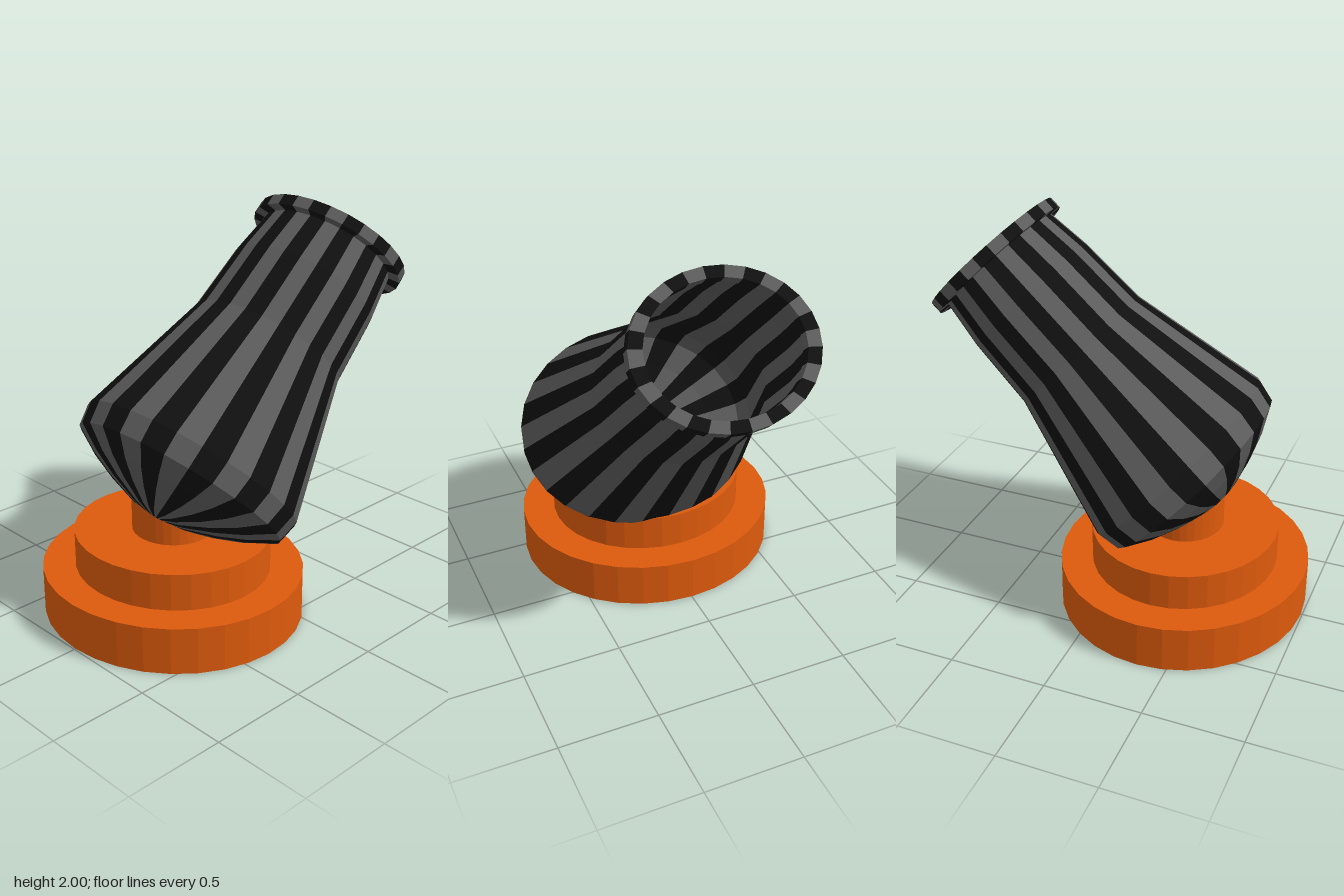
import * as THREE from 'three';
import { mergeGeometries } from 'three/addons/utils/BufferGeometryUtils.js';

const STRIPES = 28;
const orange = new THREE.MeshStandardMaterial({ color: 0xdd5a0c, flatShading: true });
const makeStripe = (color) =>
  new THREE.MeshStandardMaterial({ color, flatShading: true, side: THREE.DoubleSide });
const stripeMaterials = { dark: makeStripe(0x101010), light: makeStripe(0x5c5c5c) };

// Elliptical tier of the stand
function tier(name, rx, rz, y0, y1) {
  const mesh = new THREE.Mesh(new THREE.CylinderGeometry(1, 1, y1 - y0, 32), orange);
  mesh.name = name;
  mesh.scale.set(rx, 1, rz);
  mesh.position.set(-0.353, (y0 + y1) / 2, -0.005);
  return mesh;
}

// Turned shape whose facets alternate between the two stripe colours
function stripedLathe(name, profile) {
  const points = profile.map(([r, y]) => new THREE.Vector2(r, y));
  const step = (Math.PI * 2) / STRIPES;
  const group = new THREE.Group();
  group.name = name;
  Object.entries(stripeMaterials).forEach(([shade, material], odd) => {
    const parts = [];
    for (let i = odd; i < STRIPES; i += 2) {
      parts.push(new THREE.LatheGeometry(points, 1, i * step, step));
    }
    const mesh = new THREE.Mesh(mergeGeometries(parts), material);
    mesh.name = `${name}_${shade}Stripes`;
    group.add(mesh);
  });
  return group;
}

export function createModel() {
  const model = new THREE.Group();
  model.name = 'mortarCannon';

  // Stepped round stand
  model.add(
    tier('baseLower', 0.64, 0.685, 0, 0.24),
    tier('baseUpper', 0.478, 0.515, 0.24, 0.43),
    tier('pivotPost', 0.195, 0.21, 0.43, 0.62),
  );

  // Tilted barrel, origin at the pole of its rounded breech
  const barrel = new THREE.Group();
  barrel.name = 'barrel';
  barrel.position.set(-0.52, 0.55, 0.055);
  barrel.rotation.z = -Math.atan2(0.727, 0.686);
  barrel.scale.set(1, 1, 1.2);
  barrel.add(
    stripedLathe('barrelShell', [
      [0, 0], [0.13, 0.027], [0.271, 0.077], [0.393, 0.134], [0.513, 0.21],
      [0.533, 0.324], [0.368, 1.055], [0.352, 1.42], [0.322, 1.66],
    ]),
    // Flat lip around the open mouth
    stripedLathe('muzzleRim', [
      [0.317, 1.655], [0.374, 1.655], [0.374, 1.716], [0.317, 1.716], [0.317, 1.655],
    ]),
  );
  model.add(barrel);
  return model;
}
